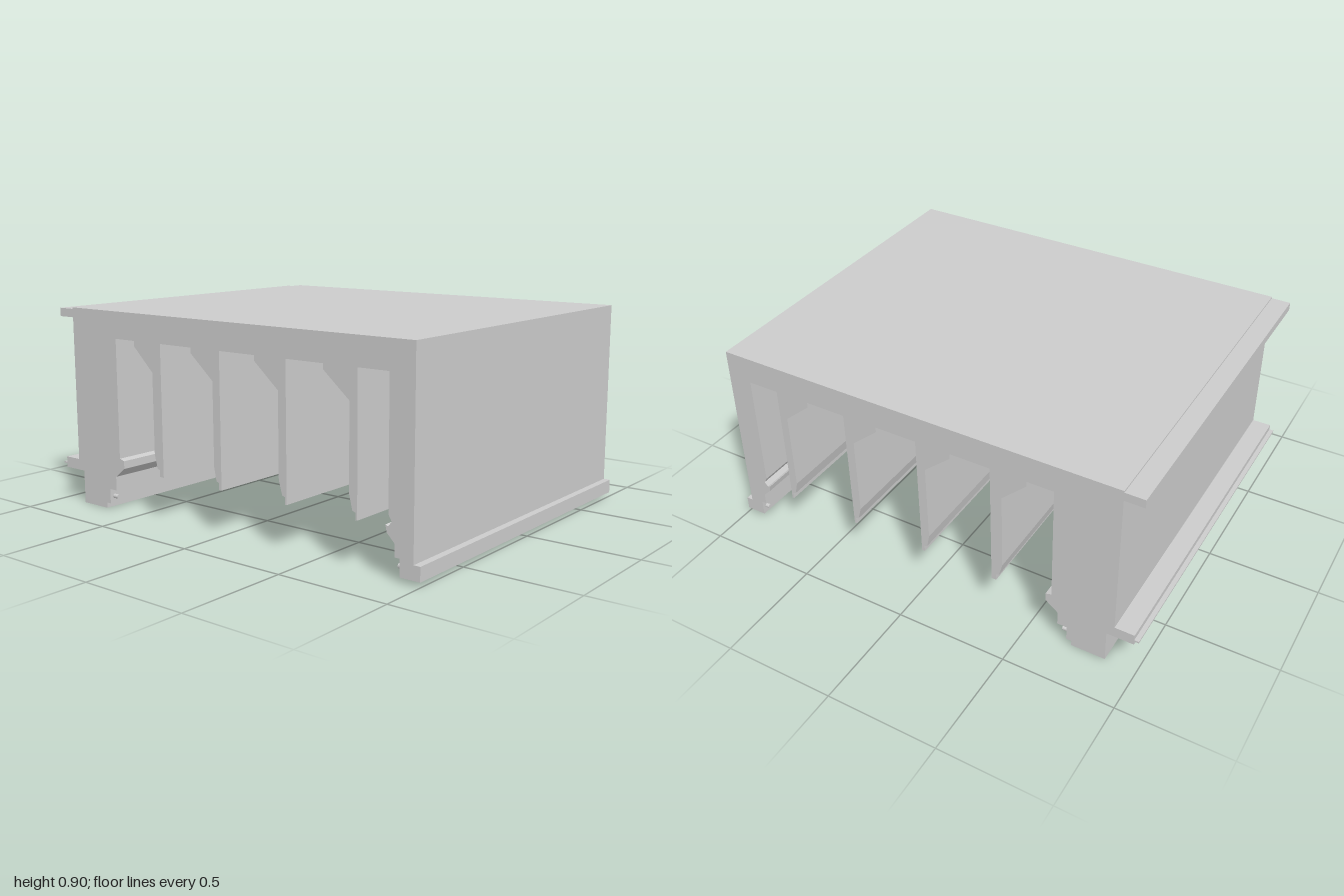
import * as THREE from 'three';

const WIDTH = 1.59;
const material = new THREE.MeshStandardMaterial({ color: 0xcccccc, flatShading: true });

// Extrudes a (z, y) side profile across the full width, centred on x.
function extrudeAcross(name, points) {
  const shape = new THREE.Shape(points.map(([z, y]) => new THREE.Vector2(z, y)));
  const geometry = new THREE.ExtrudeGeometry(shape, { depth: WIDTH, bevelEnabled: false });
  geometry.translate(0, 0, -WIDTH / 2);
  geometry.rotateY(-Math.PI / 2);
  const mesh = new THREE.Mesh(geometry, material);
  mesh.name = name;
  return mesh;
}

// Small round peg pointing along z between two depths.
function peg(name, x, z0, z1) {
  const geometry = new THREE.CylinderGeometry(0.01, 0.01, Math.abs(z1 - z0), 12);
  geometry.rotateX(Math.PI / 2);
  const mesh = new THREE.Mesh(geometry, material);
  mesh.position.set(x, 0.055, (z0 + z1) / 2);
  mesh.name = name;
  return mesh;
}

export function createModel() {
  const model = new THREE.Group();
  model.name = 'finnedCover';

  // Roof with front and back walls, feet, snap ridges and back rails
  model.add(extrudeAcross('housing', [
    // front wall outside and foot
    [0.97, 0.9], [0.97, 0.08], [1, 0.08], [1, 0.02], [0.908, 0.02],
    // front wall inside with snap ridge
    [0.908, 0.092], [0.885, 0.092], [0.885, 0.145], [0.85, 0.18], [0.843, 0.21],
    [0.856, 0.205], [0.872, 0.225], [0.857, 0.25], [0.857, 0.78],
    // back wall inside with snap ridge and foot
    [-0.61, 0.78], [-0.61, 0.243], [-0.583, 0.235], [-0.583, 0.2], [-0.64, 0.155],
    [-0.64, 0.092], [-0.683, 0.092], [-0.683, 0.025], [-0.707, 0.025], [-0.707, 0],
    // back wall outside: lower rail with thin lip, upper rail
    [-0.86, 0], [-0.86, 0.15], [-0.98, 0.15], [-0.98, 0.167], [-1, 0.167],
    [-1, 0.175], [-0.98, 0.175], [-0.98, 0.2], [-0.893, 0.2],
    [-0.893, 0.855], [-0.98, 0.855], [-0.98, 0.893], [-0.893, 0.893], [-0.893, 0.9],
  ]));

  // Hanging fins with a sloped haunch behind and a tapered tip: [front z, thickness, tip thickness]
  const fins = [[0.714, 0.038, 0.009], [0.367, 0.04, 0.009], [0.014, 0.04, 0.014], [-0.33, 0.052, 0.022]];
  fins.forEach(([z, t, tip], i) => {
    model.add(extrudeAcross(`fin${i + 1}`, [
      [z, 0.78], [z, 0.2], [z - tip, 0.2], [z - tip, 0.23], [z - tip - 0.014, 0.235],
      [z - t, 0.295], [z - t, 0.653], [z - 0.162, 0.757], [z - 0.162, 0.78],
    ]));
  });

  // Locating pegs inside both walls
  for (const x of [-0.77, 0, 0.77]) {
    model.add(peg('frontPeg', x, 0.91, 0.889));
    model.add(peg('backPeg', x, -0.685, -0.655));
  }
  return model;
}
